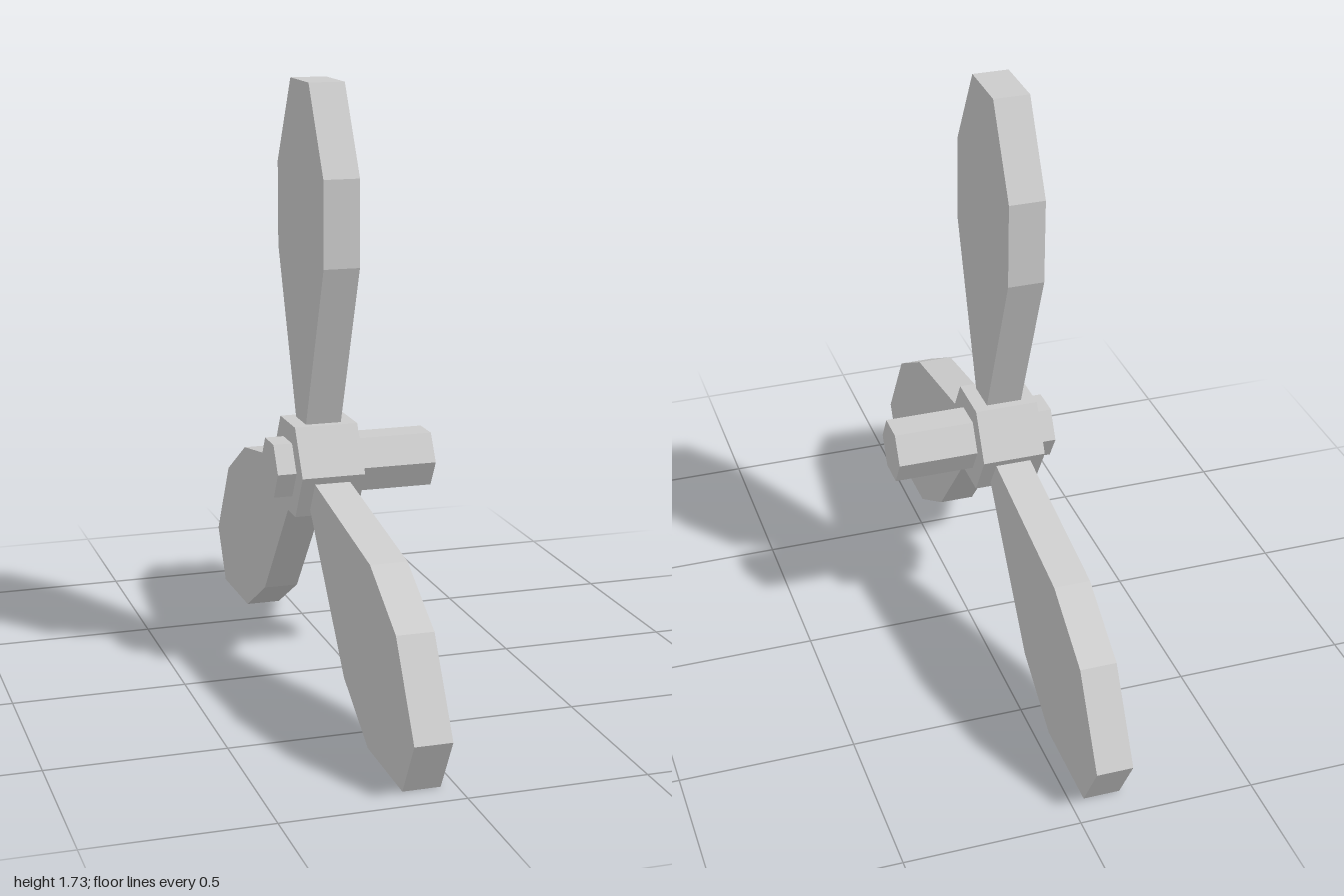
import * as THREE from 'three';

const AXIS_Y = 0.63;

export function createModel() {
  const model = new THREE.Group();
  model.name = 'propeller';
  const material = new THREE.MeshStandardMaterial({ color: 0xcccccc, flatShading: true });

  // Hexagonal prism lying along x, corners pointing to +z and -z
  function hexPrism(name, radius, x0, x1) {
    const geometry = new THREE.CylinderGeometry(radius, radius, x1 - x0, 6);
    geometry.rotateZ(Math.PI / 2);
    const mesh = new THREE.Mesh(geometry, material);
    mesh.name = name;
    mesh.position.set((x0 + x1) / 2, AXIS_Y, 0);
    model.add(mesh);
  }
  hexPrism('shaft', 0.09, -0.24, 0.235);
  hexPrism('hub', 0.152, -0.185, 0);

  // Blade outline as [half width, distance from the axis], mirrored
  const outline = [[0.035, 0.09], [0.228, 0.608], [0.228, 0.854], [0.09, 1.104]];
  const points = [
    ...outline.map(([w, r]) => new THREE.Vector2(w, r)),
    ...outline.slice().reverse().map(([w, r]) => new THREE.Vector2(-w, r)),
  ];
  const bladeGeometry = new THREE.ExtrudeGeometry(new THREE.Shape(points), { depth: 0.104, bevelEnabled: false });
  bladeGeometry.rotateY(Math.PI / 2);
  bladeGeometry.translate(-0.145, 0, 0);

  // Three blades evenly around the axis
  for (let i = 0; i < 3; i++) {
    const blade = new THREE.Mesh(bladeGeometry, material);
    blade.name = `blade${i + 1}`;
    blade.position.y = AXIS_Y;
    blade.rotation.x = (i * Math.PI * 2) / 3;
    model.add(blade);
  }
  return model;
}
